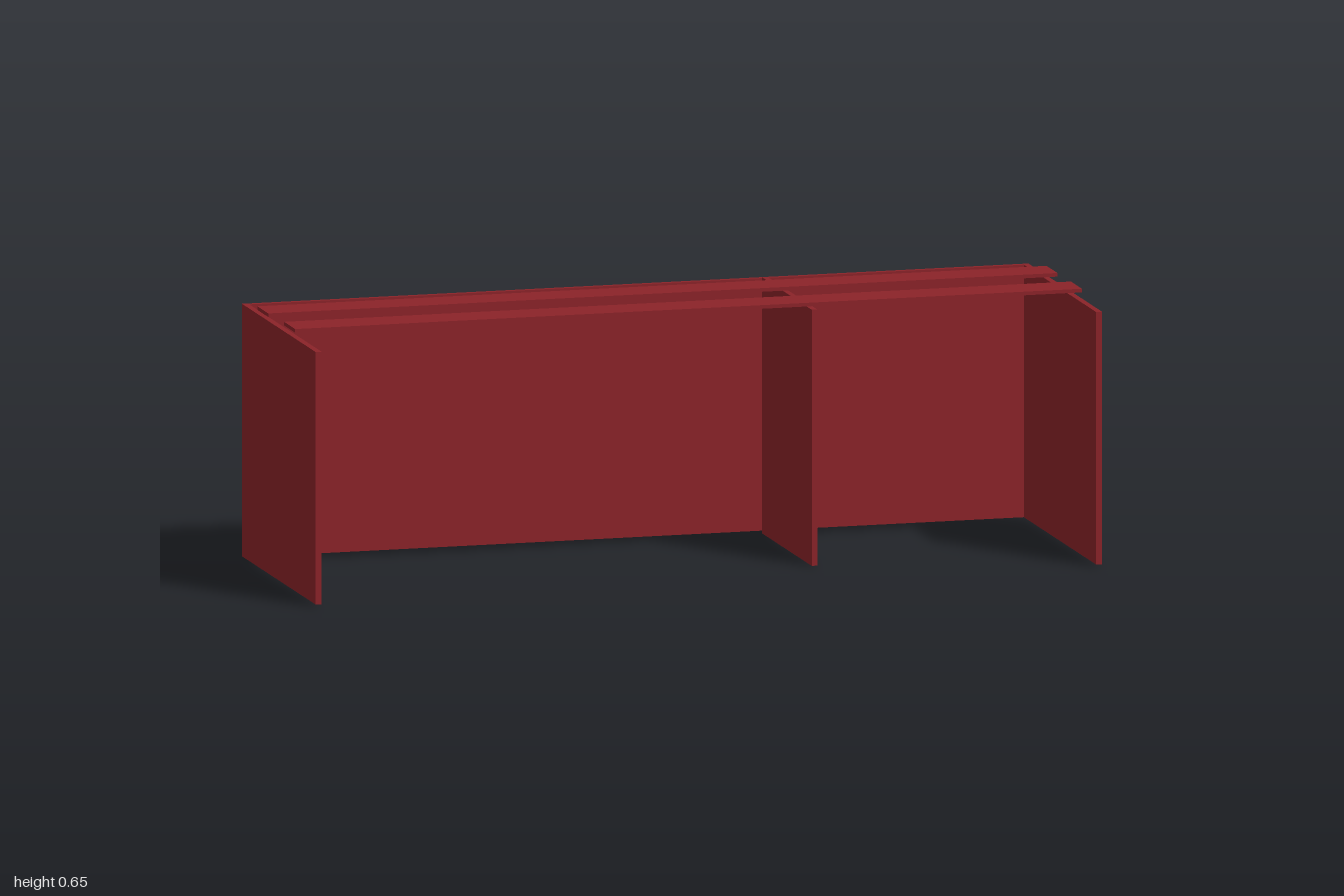
import * as THREE from 'three';

export function createModel() {
  const model = new THREE.Group();
  model.name = 'openCabinet';
  const material = new THREE.MeshStandardMaterial({ color: 0x8b2329 });

  // Flat board given by its extents along each axis
  function board(name, [x0, x1], [y0, y1], [z0, z1]) {
    const geometry = new THREE.BoxGeometry(x1 - x0, y1 - y0, z1 - z0);
    const mesh = new THREE.Mesh(geometry, material);
    mesh.name = name;
    mesh.position.set((x0 + x1) / 2, (y0 + y1) / 2, (z0 + z1) / 2);
    model.add(mesh);
  }

  // Outer walls
  const height = [0.005, 0.63];
  board('rightPanel', [-0.998, -0.983], height, [-0.333, 0.333]);
  board('leftPanel', [0.974, 0.989], height, [-0.333, 0.333]);
  board('backPanel', [-0.983, 0.974], height, [-0.333, -0.32]);

  // Inner divider, slightly taller than the walls
  board('divider', [0.31, 0.324], [0, 0.634], [-0.313, 0.138]);

  // Loose slats over the top
  board('frontSlat', [-1, 0.988], [0.646, 0.655], [0.055, 0.155]);
  board('backSlat', [-0.994, 1], [0.637, 0.646], [-0.208, -0.109]);

  return model;
}
